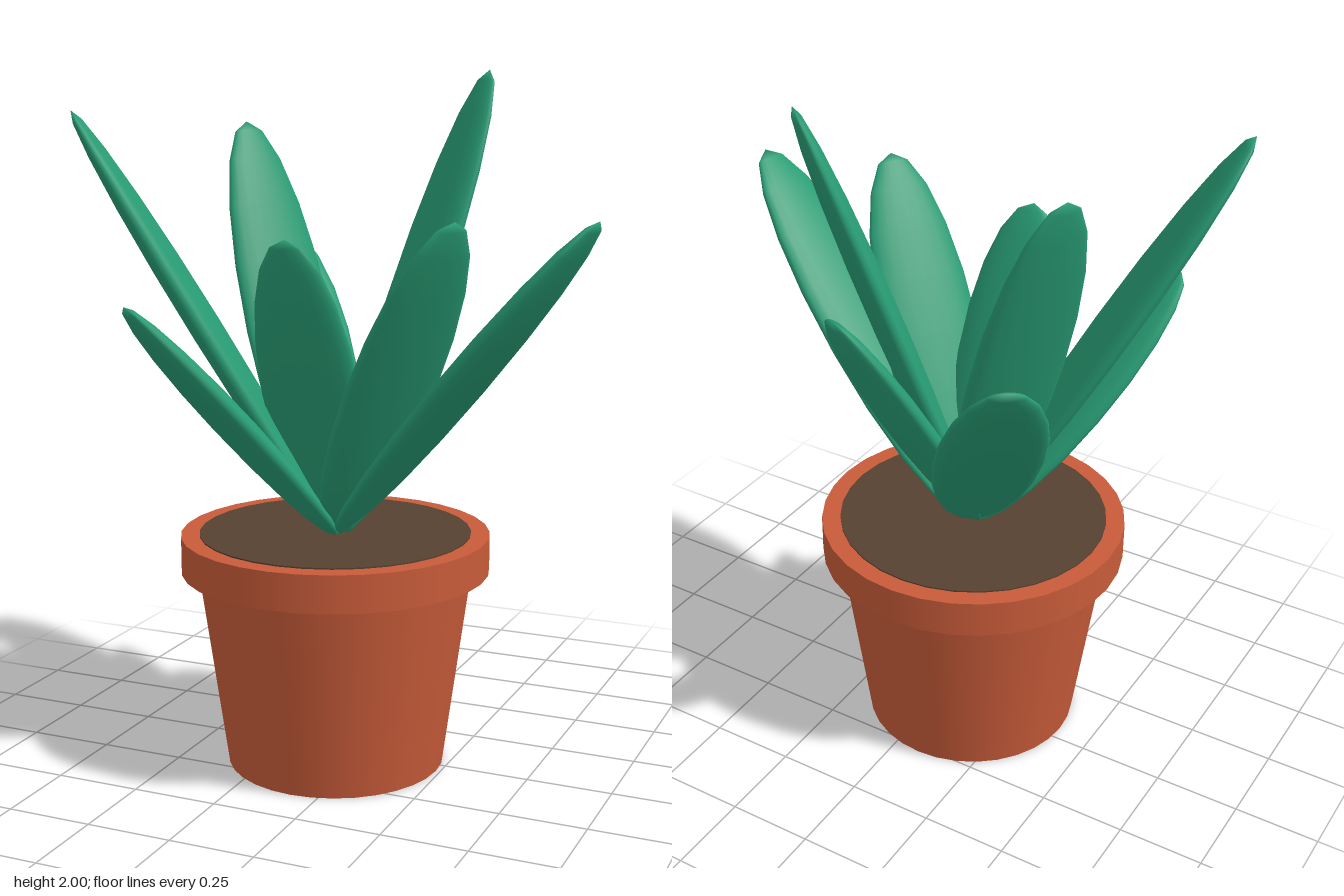
import * as THREE from 'three';

export function createModel() {
  const plant = new THREE.Group();
  plant.name = 'pottedPlant';

  const terracotta = new THREE.MeshStandardMaterial({ color: 0xc75b39 });
  terracotta.name = 'terracotta';
  const soilBrown = new THREE.MeshStandardMaterial({ color: 0x574130 });
  soilBrown.name = 'soil brown';
  const leafGreen = new THREE.MeshStandardMaterial({ color: 0x289c74 });
  leafGreen.name = 'leaf green';

  const cx = -0.08, cz = 0.045;

  // Tapered or straight round part standing on the pot axis
  function round(name, rTop, rBottom, y0, y1, material) {
    const mesh = new THREE.Mesh(new THREE.CylinderGeometry(rTop, rBottom, y1 - y0, 32), material);
    mesh.name = name;
    mesh.position.set(cx, (y0 + y1) / 2, cz);
    plant.add(mesh);
  }
  round('potBody', 0.4, 0.317, 0, 0.6, terracotta);
  round('potRim', 0.447, 0.447, 0.58, 0.688, terracotta);
  round('soil', 0.393, 0.393, 0.67, 0.692, soilBrown);

  // Leaves: flattened ellipsoids running from a shared root to each tip
  const root = new THREE.Vector3(cx, 0.675, cz);
  const up = new THREE.Vector3(0, 1, 0);
  const leafShape = new THREE.SphereGeometry(1, 20, 10);
  const tips = [
    [-0.50, 1.50, -0.52],
    [0.09, 1.48, -0.40],
    [0.25, 2.00, -0.31],
    [0.72, 1.62, 0.18],
    [0.39, 1.62, 0.35],
    [-0.08, 1.56, 0.37],
    [-0.48, 1.38, 0.525],
    [-0.72, 1.89, 0.375],
    [-0.46, 1.85, -0.17],
  ];
  const leaves = new THREE.Group();
  leaves.name = 'leaves';
  plant.add(leaves);
  tips.forEach((t, i) => {
    const tip = new THREE.Vector3(...t);
    const along = tip.clone().sub(root);
    const length = along.length();
    along.normalize();
    const across = new THREE.Vector3().crossVectors(along, up).normalize();
    const through = new THREE.Vector3().crossVectors(across, along);
    const leaf = new THREE.Mesh(leafShape, leafGreen);
    leaf.name = 'leaf' + (i + 1);
    leaf.quaternion.setFromRotationMatrix(new THREE.Matrix4().makeBasis(across, along, through));
    leaf.scale.set(0.152, length / 2, 0.043);
    leaf.position.copy(root).add(tip).multiplyScalar(0.5);
    leaves.add(leaf);
  });

  return plant;
}
